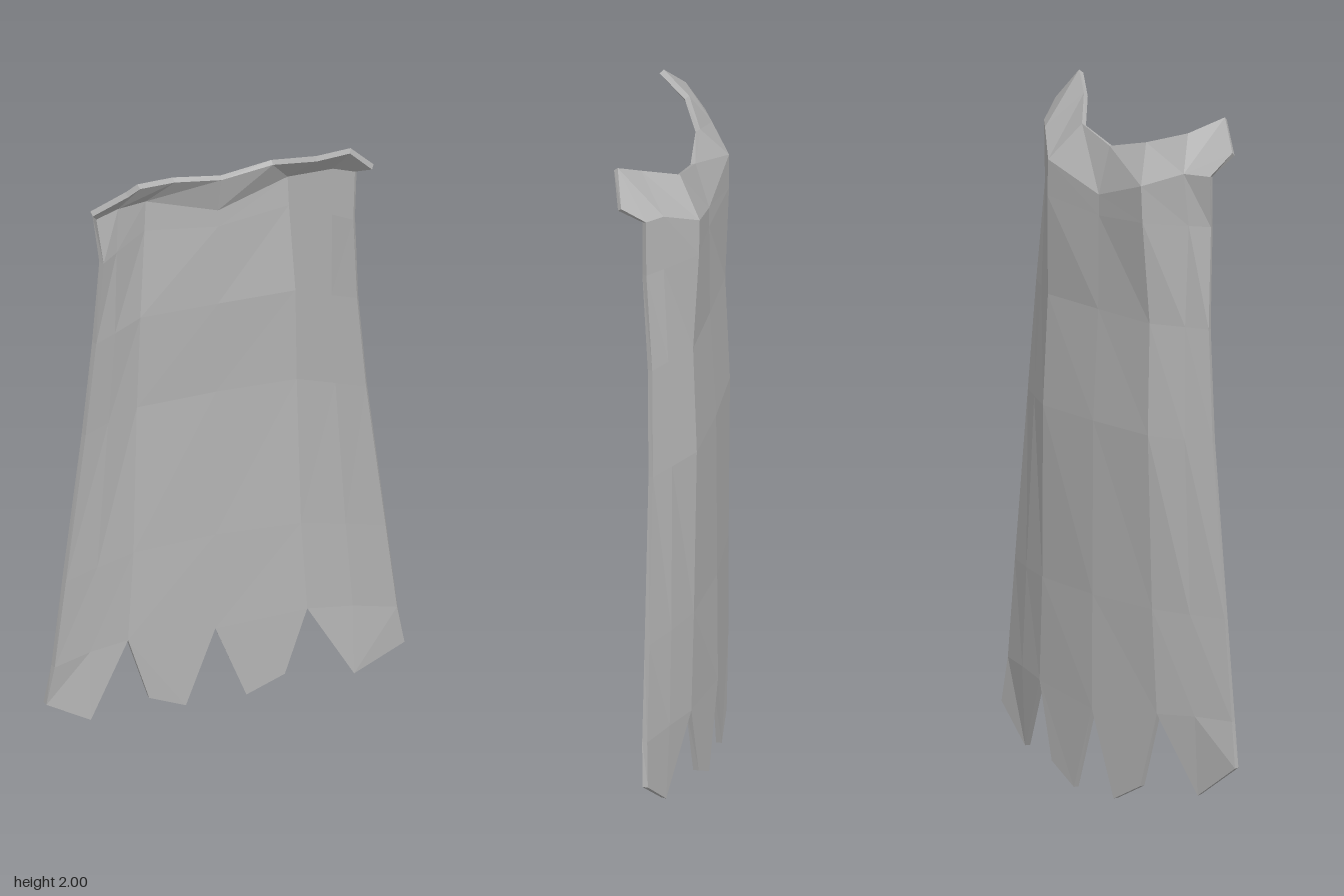
import * as THREE from 'three';

const THICKNESS = 0.016;

// Shoulder points, as [half x, y, z], slightly different on each side
const shoulders = {
  '1': { tip: [0.335, 2.0, 0.105], end: [0.41, 1.91, 0.08], neck: [0.25, 1.955, 0.055],
    edge: [0.38, 1.86, 0.015], fold: [0.325, 1.855, -0.025] },
  '-1': { tip: [0.325, 1.985, 0.105], end: [0.415, 1.905, 0.06], neck: [0.265, 1.94, 0.02],
    edge: [0.39, 1.84, 0.0], fold: [0.315, 1.84, -0.035] },
};

// Cloth rows from the shoulders down: outer edge, side fold, back crease, centre
const rows = [
  [[0.375, 1.69, 0.015], [0.325, 1.69, -0.025], [0.215, 1.69, -0.104], [0, 1.67, -0.09]],
  [[0.39, 1.4, -0.005], [0.325, 1.4, -0.038], [0.23, 1.4, -0.09], [0, 1.4, -0.092]],
  [[0.418, 1.08, -0.013], [0.34, 1.08, -0.052], [0.237, 1.08, -0.102], [0, 1.08, -0.11]],
  [[0.475, 0.58, -0.014], [0.37, 0.58, -0.056], [0.248, 0.58, -0.096], [0, 0.58, -0.113]],
  [[0.507, 0.29, -0.014], [0.39, 0.29, -0.055], [0.265, 0.28, -0.092], [0, 0.25, -0.115]],
];

// Thickens a sheet of triangles inward and closes its rim
function thicken(points, tris) {
  const sheet = new THREE.BufferGeometry();
  sheet.setAttribute('position', new THREE.Float32BufferAttribute(points.flat(), 3));
  sheet.setIndex(tris.flat());
  sheet.computeVertexNormals();
  const normal = sheet.attributes.normal;
  const n = points.length;
  const inner = points.map((p, i) => [
    p[0] - normal.getX(i) * THICKNESS,
    p[1] - normal.getY(i) * THICKNESS,
    p[2] - normal.getZ(i) * THICKNESS,
  ]);
  const edges = new Set();
  for (const t of tris) t.forEach((a, k) => edges.add(a + '_' + t[(k + 1) % 3]));
  const all = [];
  for (const t of tris) {
    all.push(...t, t[0] + n, t[2] + n, t[1] + n);
    t.forEach((a, k) => {
      const b = t[(k + 1) % 3];
      if (!edges.has(b + '_' + a)) all.push(b, a, a + n, b, a + n, b + n);
    });
  }
  const solid = new THREE.BufferGeometry();
  solid.setAttribute('position', new THREE.Float32BufferAttribute([...points, ...inner].flat(), 3));
  solid.setIndex(all);
  const flat = solid.toNonIndexed();
  flat.computeVertexNormals();
  return flat;
}

export function createModel() {
  const points = [];
  const tris = [];
  const ids = new Map();

  for (const s of [1, -1]) {
    // Points on the centre line are shared by both halves
    const id = ([x, y, z]) => {
      const key = [x * s + 0, y, z].join();
      if (!ids.has(key)) {
        ids.set(key, points.length);
        points.push([x * s, y, z]);
      }
      return ids.get(key);
    };
    const face = (...corners) => {
      const f = corners.map(id);
      if (s < 0) f.reverse();
      for (let k = 1; k < f.length - 1; k++) tris.push([f[0], f[k], f[k + 1]]);
    };

    // Collar
    const { tip, end, neck, edge, fold } = shoulders[s];
    const nape = [0.145, 1.9, -0.035];
    const napeCentre = [0, 1.865, -0.051];
    const crease = [0.21, 1.795, -0.105];
    const creaseCentre = [0, 1.73, -0.09];
    face(tip, end, edge, fold);
    face(tip, fold, neck);
    face(neck, fold, crease, nape);
    face(nape, crease, creaseCentre, napeCentre);

    // Hanging cloth
    const grid = [[edge, fold, crease, creaseCentre], ...rows];
    for (let r = 0; r < grid.length - 1; r++) {
      for (let c = 0; c < 3; c++) {
        face(grid[r][c], grid[r + 1][c], grid[r + 1][c + 1], grid[r][c + 1]);
      }
    }

    // Ragged hem: one outer and one inner point per half
    const [outer, side, notch, centre] = rows[rows.length - 1];
    const outerTip = [0.39, 0.06, -0.045];
    const innerTip = [0.09, 0.005, -0.108];
    face(outer, [0.528, 0.16, -0.02], outerTip, side);
    face(side, outerTip, notch);
    face(notch, [0.2, 0.06, -0.1], innerTip);
    face(notch, innerTip, centre);
  }

  const cloth = new THREE.MeshStandardMaterial({ color: 0xb4b4b4, flatShading: true });
  cloth.name = 'grey cloth';
  const cape = new THREE.Mesh(thicken(points, tris), cloth);
  cape.name = 'cape';

  const group = new THREE.Group();
  group.name = 'tatteredCape';
  group.add(cape);
  return group;
}
